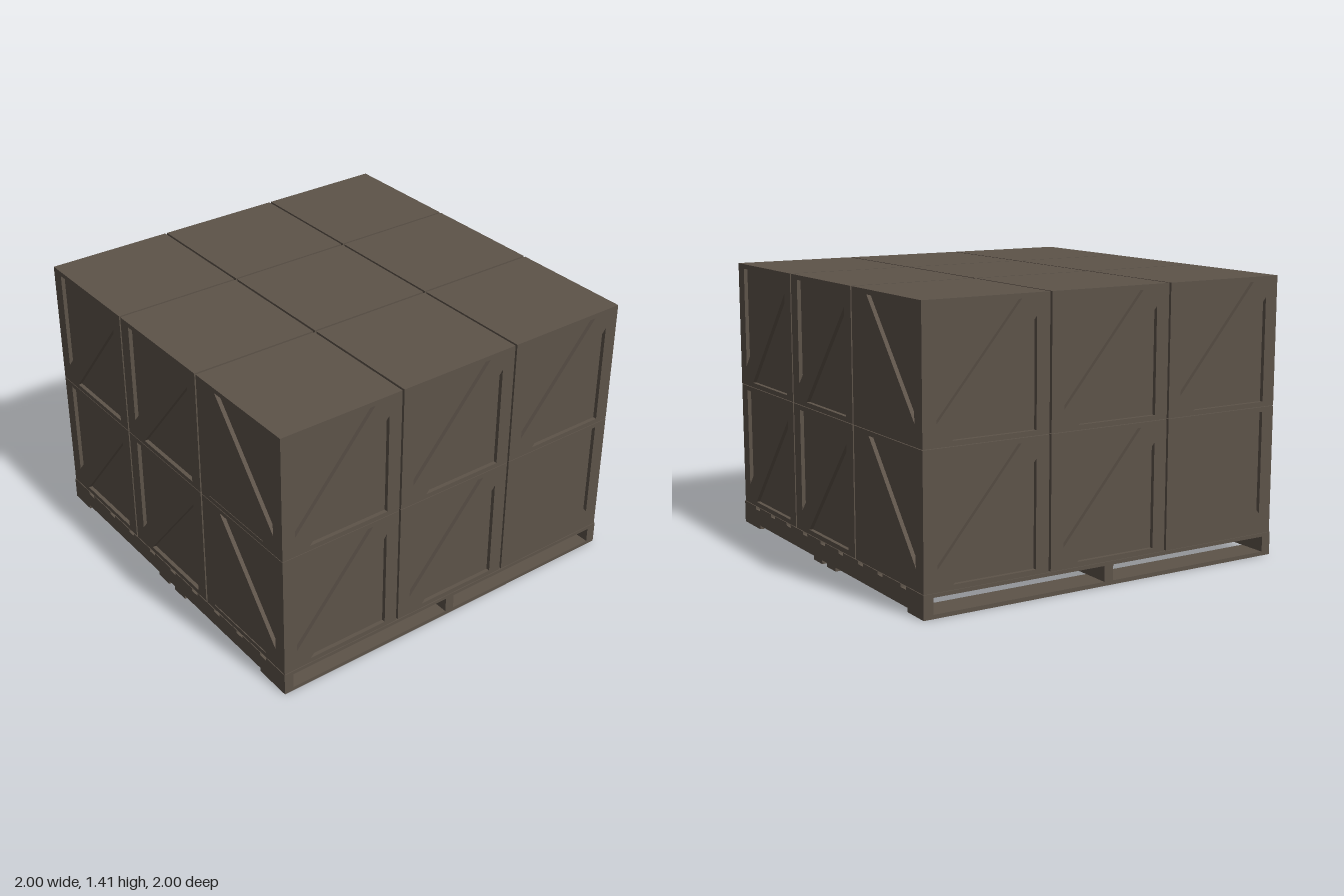
import * as THREE from 'three';

const wood = new THREE.MeshStandardMaterial({ color: 0x5d5349 });
wood.name = 'weathered wood';

const SIZE = 0.657, HEIGHT = 0.647, DEPTH = 0.02, PITCH = 0.6685;
const POST = 0.07, RAIL = 0.024, CUT = 0.08;

function box(parent, name, w, h, d, x, y, z) {
  const mesh = new THREE.Mesh(new THREE.BoxGeometry(w, h, d), wood);
  mesh.name = name;
  mesh.position.set(x, y, z);
  parent.add(mesh);
}

// Side frame: posts, rails and a diagonal brace around two triangular recesses
function frameGeometry(slope) {
  const w = SIZE / 2, h = HEIGHT / 2, a = w - POST, b = h - RAIL;
  const path = (pts, Type) => new Type(pts.map(([x, y]) => new THREE.Vector2(x * slope, y)));
  const shape = path([[-w, -h], [w, -h], [w, h], [-w, h]], THREE.Shape);
  shape.holes.push(
    path([[-a, -b + CUT], [-a, b], [a - CUT, b]], THREE.Path),
    path([[-a + CUT, -b], [a, -b], [a, b - CUT]], THREE.Path));
  return new THREE.ExtrudeGeometry(shape, { depth: DEPTH, bevelEnabled: false });
}

export function createModel() {
  const model = new THREE.Group();
  model.name = 'crates on pallet';

  // Pallet
  const pallet = new THREE.Group();
  pallet.name = 'pallet';
  model.add(pallet);
  for (const x of [-0.975, 0, 0.975]) box(pallet, 'stringer', 0.05, 0.08, 2, x, 0.06, 0);
  for (const [front, back] of [[1, 0.8], [0.125, 0.03], [-0.025, -0.12], [-0.85, -1]])
    box(pallet, 'bottomBoard', 2, 0.02, front - back, 0, 0.01, (front + back) / 2);
  const gaps = [0.825, 0.625, 0.425, 0.225, 0.02, -0.18, -0.39, -0.59, -0.815];
  const edges = [1.025, ...gaps, -1.025];
  for (let i = 0; i < edges.length - 1; i++) {
    const front = edges[i] - 0.025, back = edges[i + 1] + 0.025;
    box(pallet, 'deckBoard', 2, 0.018, front - back, 0, 0.107, (front + back) / 2);
  }

  // Crates: three by three, two layers
  const rising = frameGeometry(1), falling = frameGeometry(-1);
  for (let row = 0; row < 2; row++)
    for (let i = -1; i <= 1; i++)
      for (let k = -1; k <= 1; k++) {
        const crate = new THREE.Group();
        crate.name = 'crate';
        crate.position.set(i * PITCH, 0.117 + HEIGHT * (row + 0.5) + row * 0.003, k * PITCH);
        const inner = SIZE - 2 * DEPTH;
        box(crate, 'crateBody', inner, HEIGHT, inner, 0, 0, 0);
        // Sides in order: front, left, back, right
        [i, -k, -i, k].forEach((column, face) => {
          const flip = column === 1 && (row === 0 || face % 2 === 1);
          const frame = new THREE.Mesh(flip ? falling : rising, wood);
          frame.name = 'sideFrame';
          frame.rotation.y = face * Math.PI / 2;
          frame.translateZ(SIZE / 2 - DEPTH);
          crate.add(frame);
        });
        model.add(crate);
      }
  return model;
}
